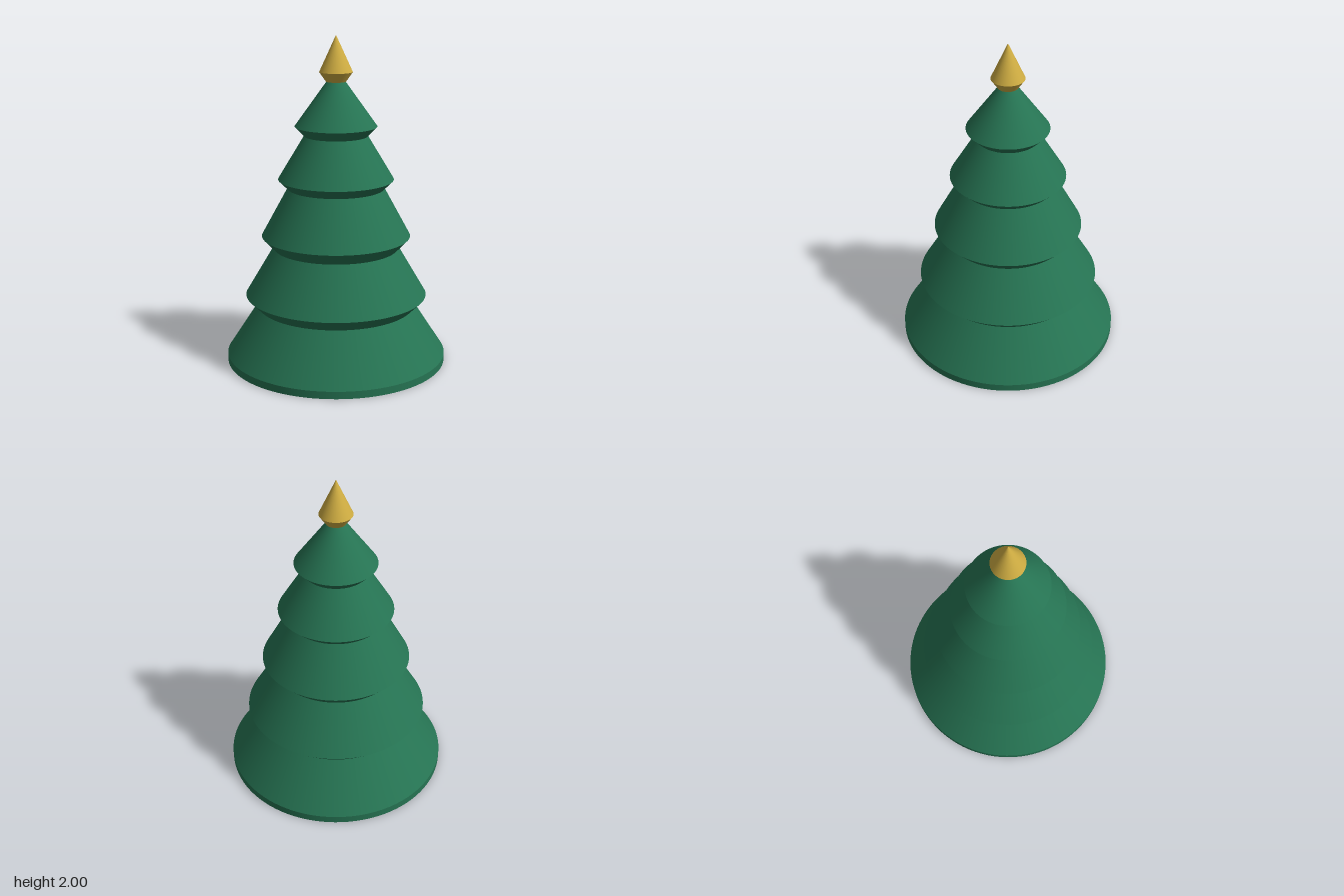
import * as THREE from 'three';

const green = new THREE.MeshStandardMaterial({ color: 0x267453 });
green.name = 'pine green';
const gold = new THREE.MeshStandardMaterial({ color: 0xcfad42 });
gold.name = 'gold';

// Stacks smooth frustums through [radius, y] points, so every ring stays a sharp edge
function stack(name, profile, material, segments) {
  const group = new THREE.Group();
  group.name = name;
  for (let i = 0; i + 1 < profile.length; i++) {
    const [r0, y0] = profile[i];
    const [r1, y1] = profile[i + 1];
    const geometry = new THREE.CylinderGeometry(r1, r0, y1 - y0, segments, 1, true);
    const mesh = new THREE.Mesh(geometry, material);
    mesh.position.y = (y0 + y1) / 2;
    mesh.name = name + 'Band' + (i + 1);
    group.add(mesh);
  }
  // Flat underside
  const base = new THREE.Mesh(new THREE.CircleGeometry(profile[0][0], segments), material);
  base.rotation.x = Math.PI / 2;
  base.position.y = profile[0][1];
  base.name = name + 'Underside';
  group.add(base);
  return group;
}

export function createModel() {
  const model = new THREE.Group();
  model.name = 'tree';

  // Five tiers of branches, each with an undercut rim
  model.add(stack('branches', [
    [0.675, 0], [0.675, 0.045],
    [0.483, 0.343], [0.555, 0.415],
    [0.382, 0.71], [0.453, 0.785],
    [0.293, 1.08], [0.35, 1.136],
    [0.192, 1.4], [0.248, 1.458],
    [0.057, 1.725],
  ], green, 96));

  // Pointed finial on top
  model.add(stack('finial', [[0.06, 1.725], [0.1, 1.782], [0, 2]], gold, 48));

  return model;
}
